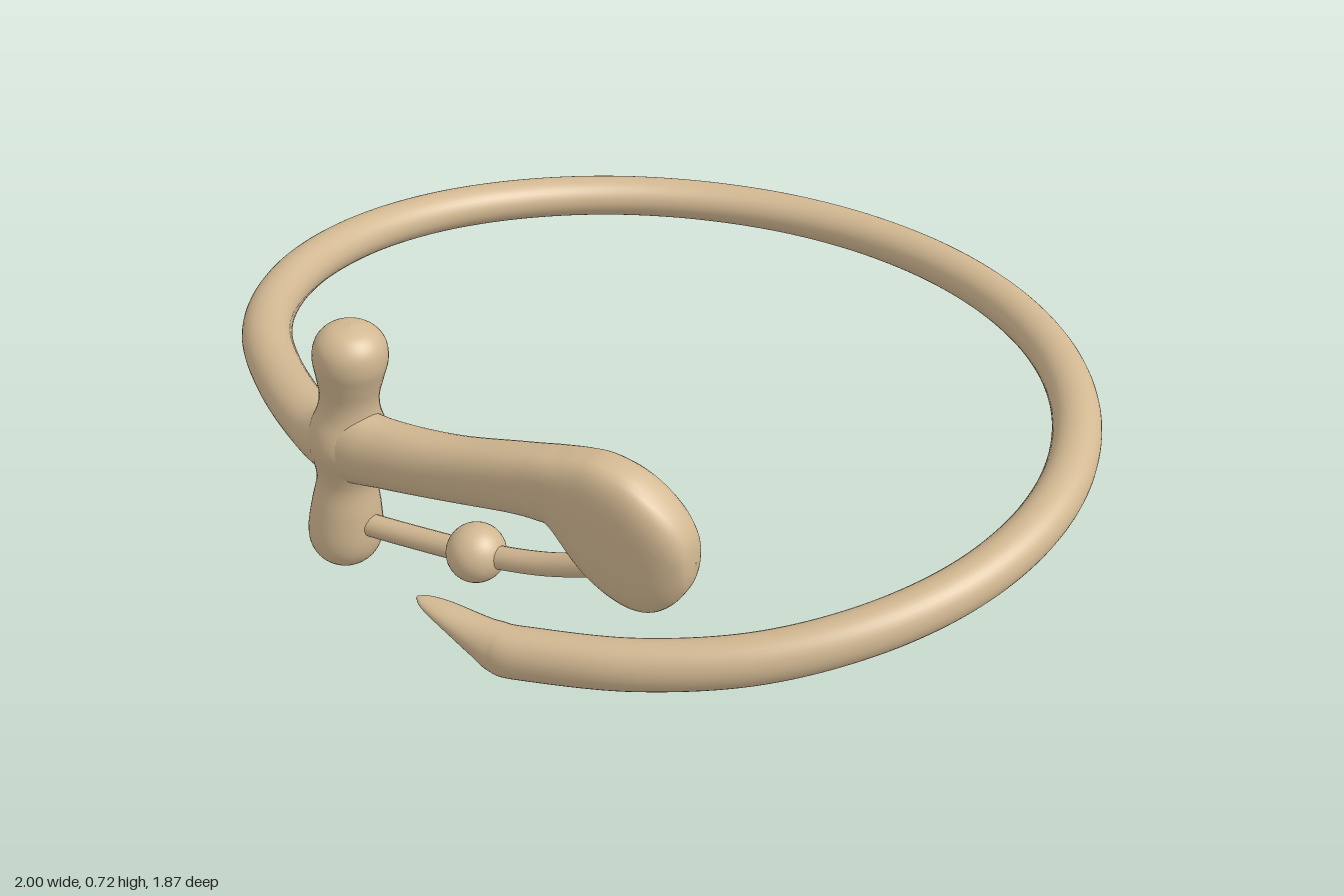
import * as THREE from 'three';

// Stations: [x, y, z, half depth, half height, squareness (1 = round, lower = boxier)]
const bladeTip = [
  [-0.15, 0.12, 0.862, 0.004, 0.004, 1],
  [-0.13, 0.117, 0.863, 0.018, 0.01, 1],
  [-0.08, 0.106, 0.865, 0.032, 0.021, 1],
  [0, 0.078, 0.866, 0.043, 0.044, 1],
  [0.04, 0.065, 0.865, 0.047, 0.057, 0.95],
  [0.1, 0.066, 0.858, 0.049, 0.058, 0.95],
];
const gripAndPommel = [
  [-0.41, 0.431, 0.798, 0.058, 0.056, 1],
  [-0.31, 0.455, 0.838, 0.065, 0.086, 1],
  [-0.2, 0.464, 0.847, 0.06, 0.075, 0.95],
  [-0.05, 0.486, 0.851, 0.055, 0.07, 0.88],
  [0.1, 0.52, 0.855, 0.055, 0.073, 0.8],
  [0.17, 0.534, 0.858, 0.056, 0.078, 0.75],
  [0.2, 0.535, 0.859, 0.057, 0.084, 0.7],
  [0.25, 0.511, 0.861, 0.06, 0.121, 0.66],
  [0.3, 0.494, 0.864, 0.062, 0.146, 0.65],
  [0.36, 0.478, 0.867, 0.064, 0.152, 0.65],
  [0.41, 0.467, 0.868, 0.063, 0.136, 0.65],
  [0.45, 0.464, 0.868, 0.056, 0.105, 0.7],
  [0.477, 0.465, 0.868, 0.043, 0.068, 0.8],
  [0.488, 0.466, 0.868, 0.027, 0.038, 0.9],
  [0.492, 0.466, 0.868, 0.002, 0.002, 1],
];

// Ring stations: an oval, a little flatter in front, climbing through a few heights
function ringStations() {
  const heights = [0.08, 0.132, 0.17, 0.172, 0.152, 0.136, 0.14, 0.177, 0.243, 0.317, 0.388];
  const climb = new THREE.SplineCurve(heights.map((h, i) => new THREE.Vector2(i, h)));
  const stations = [];
  for (let i = 0; i <= 20; i++) {
    const a = THREE.MathUtils.degToRad(-70 + 15 * i);
    const depth = Math.sin(a) > 0 ? 0.885 : 0.85;
    const halfHeight = 0.052 + 0.005 * Math.max(0, 1 - i / 4);
    stations.push([0.945 * Math.cos(a), climb.getPoint(i / 20).y, -depth * Math.sin(a),
      Math.min(0.056, 0.05 + 0.001 * i), halfHeight, 1]);
  }
  return stations;
}

// Sweeps an upright rounded section along the stations
function sweep(stations, steps, sides) {
  const spline = (k) => new THREE.CatmullRomCurve3(
    stations.map((s) => new THREE.Vector3(s[k], s[k + 1], s[k + 2])), false, 'catmullrom', 0.5);
  const path = spline(0), size = spline(3);
  const positions = [], index = [];
  const power = (v, e) => Math.sign(v) * Math.abs(v) ** e;
  for (let i = 0; i <= steps; i++) {
    const t = i / steps;
    const p = path.getPoint(t), s = size.getPoint(t), d = path.getTangent(t);
    const side = new THREE.Vector3(d.z, 0, -d.x).normalize();
    for (let j = 0; j < sides; j++) {
      const a = (j / sides) * Math.PI * 2;
      const u = s.x * power(Math.cos(a), s.z), v = s.y * power(Math.sin(a), s.z);
      positions.push(p.x + side.x * u, p.y + v, p.z + side.z * u);
      if (i < steps) {
        const k = (j + 1) % sides, r = i * sides, n = r + sides;
        index.push(r + j, r + k, n + j, r + k, n + k, n + j);
      }
    }
  }
  const geometry = new THREE.BufferGeometry();
  geometry.setAttribute('position', new THREE.Float32BufferAttribute(positions, 3));
  geometry.setIndex(index);
  geometry.computeVertexNormals();
  return geometry;
}

export function createModel() {
  const group = new THREE.Group();
  const tan = new THREE.MeshStandardMaterial({ color: 0xd2b892 });
  tan.name = 'tan';
  const add = (name, geometry) => {
    const mesh = new THREE.Mesh(geometry, tan);
    mesh.name = name;
    group.add(mesh);
    return mesh;
  };

  // Blade, ring, grip and pommel in one continuous sweep
  add('swordBand', sweep([...bladeTip, ...ringStations(), ...gripAndPommel], 400, 36));

  // Cross guard: a turned bar with rounded ends, leaning slightly
  const low = new THREE.Vector3(-0.337, 0.145, 0.846);
  const high = new THREE.Vector3(-0.281, 0.73, 0.816);
  const axis = high.clone().sub(low).normalize();
  const profile = new THREE.SplineCurve([
    [0, 0], [0.04, 0.012], [0.068, 0.042], [0.077, 0.085], [0.071, 0.15], [0.062, 0.21],
    [0.066, 0.25], [0.08, 0.305], [0.077, 0.345], [0.063, 0.39], [0.06, 0.43],
    [0.068, 0.475], [0.075, 0.515], [0.068, 0.552], [0.042, 0.578], [0, 0.588],
  ].map(([r, y]) => new THREE.Vector2(r, y))).getPoints(70);
  const guard = add('crossGuard', new THREE.LatheGeometry(profile, 40));
  guard.position.copy(low);
  guard.quaternion.setFromUnitVectors(new THREE.Vector3(0, 1, 0), axis);

  // Thin knuckle bow with its bead
  const bow = new THREE.CatmullRomCurve3([
    [-0.32, 0.258, 0.848], [-0.15, 0.272, 0.85], [0, 0.292, 0.855],
    [0.15, 0.325, 0.858], [0.26, 0.367, 0.862], [0.34, 0.405, 0.865],
  ].map((p) => new THREE.Vector3(...p)));
  add('knuckleBow', new THREE.TubeGeometry(bow, 48, 0.024, 16));
  add('bead', new THREE.SphereGeometry(0.061, 32, 24)).position.set(0, 0.295, 0.856);

  return group;
}
